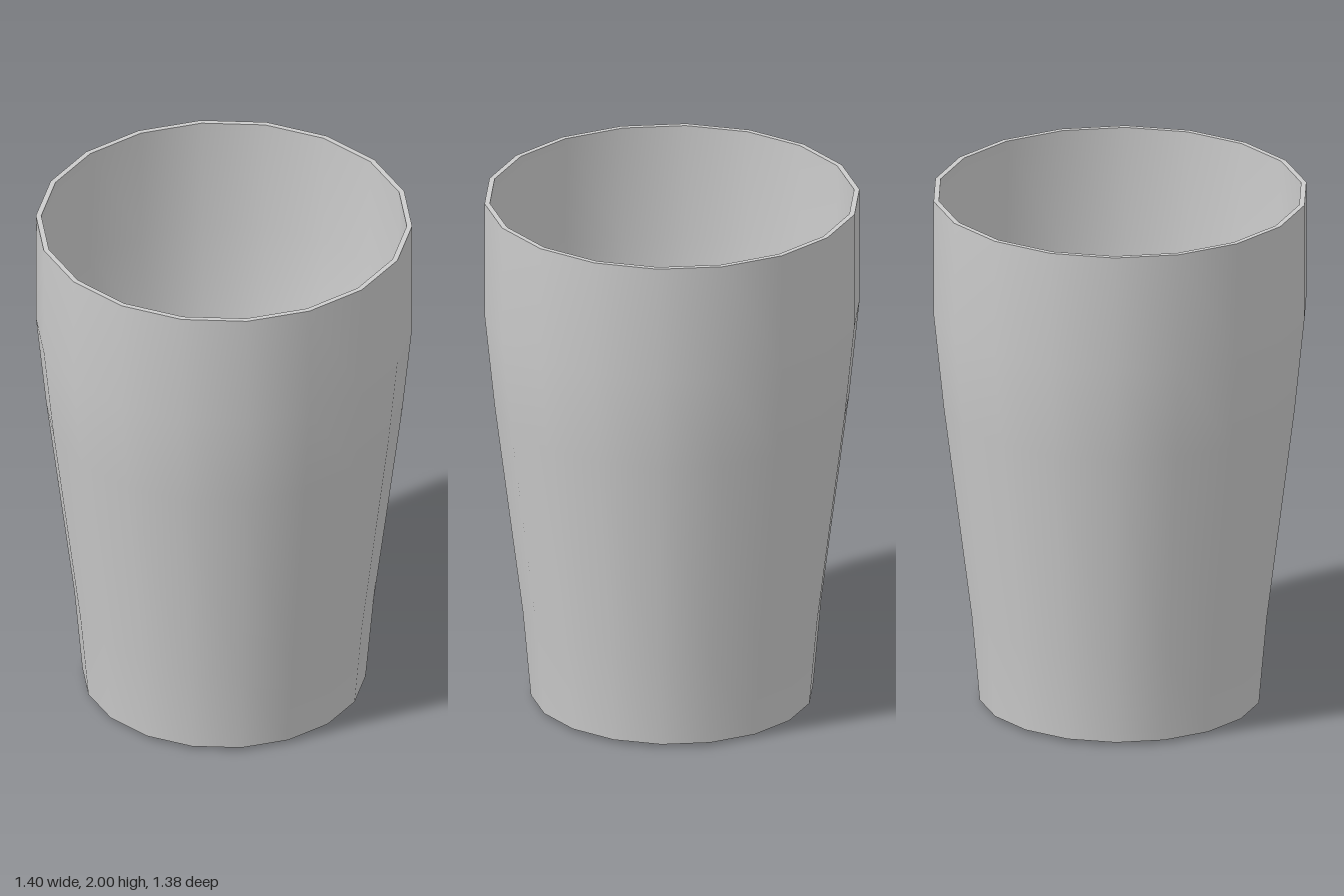
import * as THREE from 'three';

const SIDES = 18;

export function createModel() {
  const cup = new THREE.Group();
  cup.name = 'cup';
  const material = new THREE.MeshStandardMaterial({ color: 0xcccccc });

  // Each section is its own lathe, so edges between sections stay sharp.
  // Profiles run from the base centre, up the outside and down the inside.
  const addSection = (name, profile) => {
    const points = profile.map(([r, y]) => new THREE.Vector2(r, y));
    const geometry = new THREE.LatheGeometry(points, SIDES, Math.PI / 2);
    const mesh = new THREE.Mesh(geometry, material);
    mesh.name = name;
    cup.add(mesh);
  };

  // Underside with its narrow bevel
  addSection('base', [[0, 0], [0.48, 0]]);
  addSection('baseBevel', [[0.48, 0], [0.527, 0.012]]);

  // Tapered body rising to a straight upper band
  addSection('outerWall', [[0.527, 0.012], [0.557, 0.35], [0.662, 1.18], [0.70, 1.55], [0.70, 2]]);
  addSection('rim', [[0.70, 2], [0.68, 2]]);

  // Hollow inside
  addSection('innerWall', [[0.68, 2], [0.68, 1.55], [0.642, 1.18], [0.537, 0.35], [0.512, 0.05]]);
  addSection('floor', [[0.512, 0.05], [0, 0.05]]);

  return cup;
}
